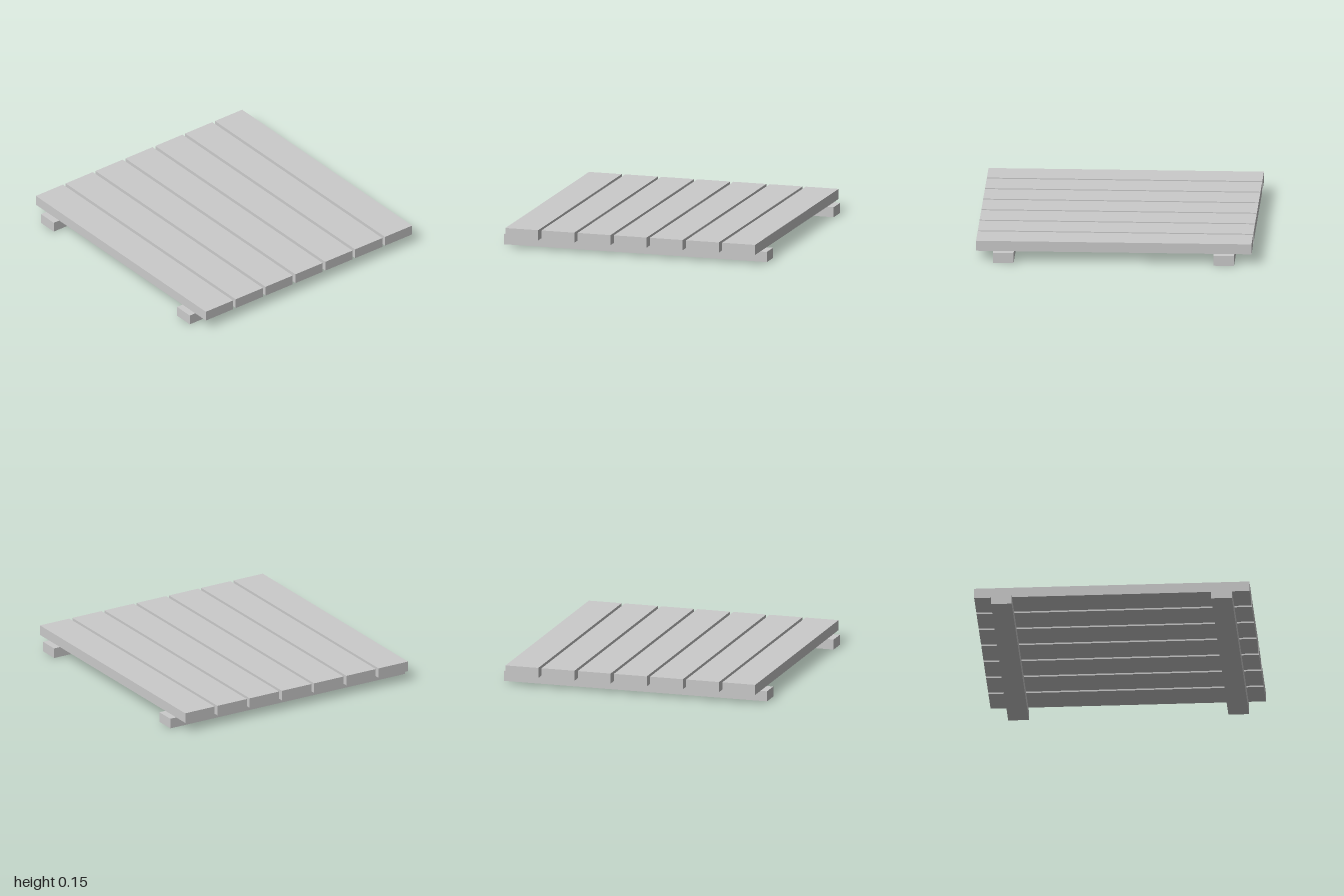
import * as THREE from 'three';

export function createModel() {
  const model = new THREE.Group();
  model.name = 'slattedPlatform';
  const material = new THREE.MeshStandardMaterial({ color: 0xcccccc });
  const thickness = 0.075;

  const addBoard = (name, width, depth, x, y, z) => {
    const board = new THREE.Mesh(new THREE.BoxGeometry(width, thickness, depth), material);
    board.name = name;
    board.position.set(x, y, z);
    model.add(board);
  };

  // Two cross rails resting on the ground
  for (const side of [1, -1]) {
    addBoard(side > 0 ? 'frontRail' : 'backRail', 2, 0.15, 0, thickness / 2, side * 0.8);
  }

  // Seven planks laid front to back with narrow gaps
  const plankCount = 7, plankWidth = 0.25, pitch = 0.275;
  for (let i = 0; i < plankCount; i++) {
    const x = (i - (plankCount - 1) / 2) * pitch;
    addBoard(`plank${i + 1}`, plankWidth, 2, x, thickness * 1.5, 0);
  }

  return model;
}
